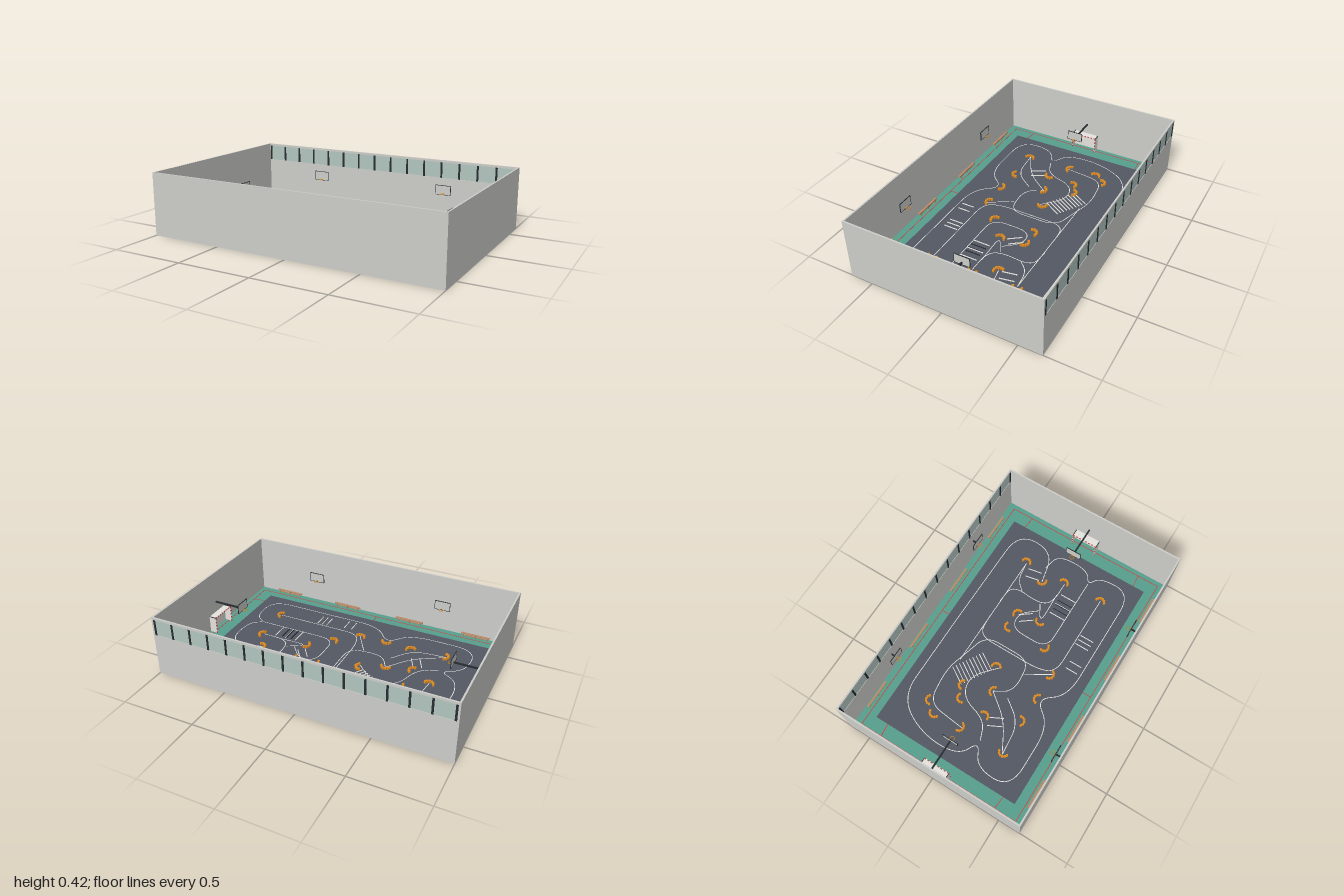
import * as THREE from 'three';

const mat = (name, color, extra = {}) => {
  const m = new THREE.MeshStandardMaterial({ color, ...extra });
  m.name = name;
  return m;
};

export function createModel() {
  const model = new THREE.Group();
  model.name = 'sportsHall';
  const M = {
    wall: mat('wallGrey', 0xcdcdca),
    floor: mat('floorGreen', 0x589f8c),
    carpet: mat('carpetSlate', 0x545864),
    white: mat('lineWhite', 0xe4e3de, { side: THREE.DoubleSide }),
    red: mat('markingRed', 0xc4494a),
    orange: mat('barrierOrange', 0xdc8a22),
    wood: mat('benchWood', 0xb88a68),
    dark: mat('frameDark', 0x262d31),
    glass: mat('windowGlass', 0xb2c6c0),
  };

  const add = (parent, name, geo, material, x = 0, y = 0, z = 0) => {
    const m = new THREE.Mesh(geo, material);
    m.name = name;
    m.position.set(x, y, z);
    parent.add(m);
    return m;
  };
  const box = (parent, name, material, w, h, d, x, y, z) =>
    add(parent, name, new THREE.BoxGeometry(w, h, d), material, x, y, z);
  const group = (name, parent = model) => {
    const g = new THREE.Group();
    g.name = name;
    parent.add(g);
    return g;
  };

  // Hall shell
  const H = 0.42, T = 0.011, D = 0.655;
  box(model, 'floor', M.floor, 1.98, 0.006, 2 * D - 0.02, 0, 0.003, 0);
  box(model, 'carpet', M.carpet, 1.73, 0.004, 1.075, 0, 0.008, -0.0025);
  box(model, 'frontWall', M.wall, 2, H, T, 0, H / 2, D - T / 2);
  for (const s of [-1, 1]) box(model, 'sideWall', M.wall, T, H, 2 * (D - T), s * (1 - T / 2), H / 2, 0);
  const w0 = 0.295, w1 = 0.405, wMid = (w0 + w1) / 2, zb = -D + T / 2;
  box(model, 'backWall', M.wall, 2, w0, T, 0, w0 / 2, zb);
  box(model, 'backWallTop', M.wall, 2, H - w1, T, 0, (H + w1) / 2, zb);
  for (const s of [-1, 1]) box(model, 'backWallEnd', M.wall, 0.012, w1 - w0, T, s * 0.994, wMid, zb);

  // Window band with fifteen panes
  const windows = group('windowBand');
  box(windows, 'glass', M.glass, 1.976, w1 - w0, 0.006, 0, wMid, zb);
  for (let i = 0; i <= 15; i++)
    box(windows, 'mullion', M.dark, 0.013, w1 - w0, T + 0.002, -0.98 + i * 1.96 / 15, wMid, zb);

  // Court markings
  const court = group('courtMarkings');
  for (const s of [-1, 1]) {
    box(court, 'sideLine', M.red, 1.91, 0.002, 0.005, 0, 0.0065, s * 0.597);
    box(court, 'endLine', M.red, 0.005, 0.002, 1.194, s * 0.955, 0.0065, 0);
    box(court, 'centreLine', M.red, 0.005, 0.002, 0.06, 0, 0.0065, s * 0.567);
    for (const t of [-1, 1])
      box(court, 'areaLine', M.red, 0.095, 0.002, 0.005, s * 0.91, 0.0065, t * 0.445).rotation.y = s * t * 0.1;
  }

  // Flat line along a polyline in hundredths of a unit, its corners rounded
  const trackLine = (parent, corners, trim) => {
    const c = corners.map(([x, z]) => new THREE.Vector2(x / 100, z / 100));
    const last = c.length - 1;
    const path = [c[0]];
    for (let i = 1; i < last; i++) {
      const toward = k => {
        const d = c[k].clone().sub(c[i]);
        return d.setLength(Math.min(trim, d.length() / 2)).add(c[i]);
      };
      path.push(...new THREE.QuadraticBezierCurve(toward(i - 1), c[i], toward(i + 1)).getPoints(8));
    }
    path.push(c[last]);
    const pos = [], idx = [];
    path.forEach((p, i) => {
      const t = path[Math.min(i + 1, path.length - 1)].clone().sub(path[Math.max(i - 1, 0)]).setLength(0.0025);
      pos.push(p.x + t.y, 0.0125, p.y - t.x, p.x - t.y, 0.0125, p.y + t.x);
      const a = 2 * i;
      if (i) idx.push(a - 2, a, a - 1, a - 1, a, a + 1);
    });
    // Faces wound to look upwards
    for (let i = 0; i < idx.length; i += 3) [idx[i + 1], idx[i + 2]] = [idx[i + 2], idx[i + 1]];
    const g = new THREE.BufferGeometry();
    g.setAttribute('position', new THREE.Float32BufferAttribute(pos, 3));
    g.setIndex(idx);
    g.computeVertexNormals();
    add(parent, 'trackLine', g, M.white);
  };

  // Outer track boundary, then the inner branches
  const track = group('track');
  trackLine(track, [[0, -47.2], [80, -46], [80, -17], [55, -11.5]], 0.17);
  trackLine(track, [[66, -15], [80, -12], [80, 12], [70, 17], [80, 22], [80, 46.5], [-8, 46.5], [-20, 29],
    [-32, 46], [-80, 46], [-80, 20], [-64, 13], [-80, 6], [-80, -23], [-66, -47.5], [0, -47.2]], 0.16);
  [
    [[-64, 13], [-51, 8], [-45, -13], [-30, -17], [-15, -3]],
    [[-63, -2], [-60, -30], [-34, -33], [-18, -28], [0, -23], [0, 12], [-24, 14], [-31, 2]],
    [[-24, -29], [62, -28.5]],
    [[27, -29], [42, -28], [40, -4], [46, 3], [62, 3]],
    [[14, -29], [-2, -28], [-2, 20], [3, 31], [64, 31]],
    [[40, -4], [27, 3.5], [52, 2.5]],
    [[35, -2], [26, -13], [14, -11], [14, 17], [71, 17]],
    [[-64, 30], [-41, 28], [-30, 13]],
    [[-64, 30], [-44, 19], [-31, 2]],
    [[-10, 14], [0, 30]],
    [[41, -19], [48, -27], [62, -28.5]],
  ].forEach(p => trackLine(track, p, 0.1));

  // Ramp stripes: centre, length, angle, spacing, count
  const ramps = group('ramps');
  [
    [-25, -18.6, 14, -32, 2.5, 10],
    [-48, 14.8, 11, 27, 5.6, 2],
    [57, -19.5, 10, 11, 6, 2],
    [26, -7, 10, 37, 5, 2],
    [46, 11, 12, 0, 7.8, 3],
    [11.7, 39.5, 9, 0, 5.5, 2],
    [31, 37, 10, 0, 3.5, 3],
  ].forEach(([x, z, len, angle, gap, n]) => {
    const g = group('rampStripes', ramps);
    g.position.set(x / 100, 0.0125, z / 100);
    g.rotation.y = THREE.MathUtils.degToRad(angle);
    for (let i = 0; i < n; i++)
      box(g, 'stripe', M.white, 0.005, 0.005, len / 100, (i - (n - 1) / 2) * gap / 100, 0, 0);
  });
  for (let i = 0; i < 3; i++) box(ramps, 'bridgeRail', M.dark, 0.004, 0.006, 0.11, 0.42 + i * 0.035, 0.013, 0.11);

  // Orange corner barriers: centre and the direction the bend opens, in degrees
  const barriers = group('cornerBarriers');
  const bead = new THREE.CylinderGeometry(0.0085, 0.0095, 0.014, 8);
  [
    [-58, -30, 60], [-64, -23, 10], [-63, -4, -80], [-46, -13, 45], [-38, -17, 80],
    [-16, -5, 160], [-31, 3, 90], [-49, 6, 200], [-62, 30, 0], [-39, 28, 240],
    [-20, 31, 90], [-1, 28, -80], [14, -13, 45], [25, -13, 120], [29, 3, 10],
    [14, 15, -60], [62, -29, 180], [56, -12, -40], [62, 2, 190], [63, 31, 180],
  ].forEach(([x, z, open]) => {
    for (let i = 0; i < 6; i++) {
      const a = THREE.MathUtils.degToRad(open + 105 + 30 * i);
      add(barriers, 'barrier', bead, M.orange, x / 100 + 0.031 * Math.cos(a), 0.017, z / 100 + 0.031 * Math.sin(a));
    }
  });

  // Benches along both long walls
  for (const s of [-1, 1]) for (const x of [-0.74, -0.247, 0.247, 0.74]) {
    const bench = group('bench');
    bench.position.set(x, 0, s * 0.622);
    box(bench, 'seat', M.wood, 0.205, 0.006, 0.016, 0, 0.03, 0);
    box(bench, 'rail', M.wood, 0.18, 0.006, 0.004, 0, 0.016, 0);
    for (const t of [-1, 0, 1]) box(bench, 'leg', M.wood, 0.006, 0.022, 0.013, t * 0.085, 0.017, 0);
  }

  // Basketball hoops: built facing +z, with the board at the group origin
  const hoop = (x, z, turn, arm) => {
    const g = group('basketballHoop');
    g.position.set(x, 0, z);
    g.rotation.y = turn;
    box(g, 'arm', M.dark, 0.01, 0.01, arm, 0, 0.2, -arm / 2);
    box(g, 'board', M.wall, 0.108, 0.064, 0.003, 0, 0.217, 0);
    for (const s of [-1, 1]) {
      box(g, 'boardEdge', M.dark, 0.003, 0.068, 0.005, s * 0.0545, 0.217, 0);
      box(g, 'boardEdge', M.dark, 0.112, 0.003, 0.005, 0, 0.217 + s * 0.0325, 0);
    }
    const ring = add(g, 'ring', new THREE.TorusGeometry(0.014, 0.002, 6, 20), M.orange, 0, 0.191, 0.019);
    ring.rotation.x = Math.PI / 2;
    box(g, 'ringMount', M.orange, 0.008, 0.006, 0.006, 0, 0.191, 0.003);
  };
  for (const s of [-1, 1]) {
    hoop(s * 0.49, -0.605, 0, 0.042);
    hoop(s * 0.49, 0.605, Math.PI, 0.042);
    hoop(s * 0.765, 0, -s * Math.PI / 2, 0.226);
  }

  // Goals with striped frames, built facing +x
  for (const s of [-1, 1]) {
    const g = group('goal');
    g.position.x = s * 0.935;
    if (s > 0) g.rotation.y = Math.PI;
    const h = 0.125, hw = 0.092, depth = 0.052;
    box(g, 'netRoof', M.white, depth, 0.003, 2 * hw, -depth / 2, h - 0.002, 0);
    box(g, 'netBack', M.white, 0.003, h - 0.006, 2 * hw, -depth, h / 2 + 0.002, 0);
    for (let i = 0; i < 15; i++)
      box(g, 'crossbar', i % 2 ? M.white : M.red, 0.006, 0.006, 2 * hw / 15, 0, h, -hw + (i + 0.5) * 2 * hw / 15);
    for (const t of [-1, 1]) {
      box(g, 'netSide', M.white, depth, h - 0.006, 0.002, -depth / 2, h / 2 + 0.002, t * hw);
      box(g, 'frameBar', M.dark, depth, 0.004, 0.004, -depth / 2, h, t * hw);
      for (let i = 0; i < 9; i++)
        box(g, 'post', i % 2 ? M.white : M.red, 0.006, 0.0131, 0.006, 0, 0.0125 + i * 0.0131, t * hw);
    }
  }
  return model;
}
